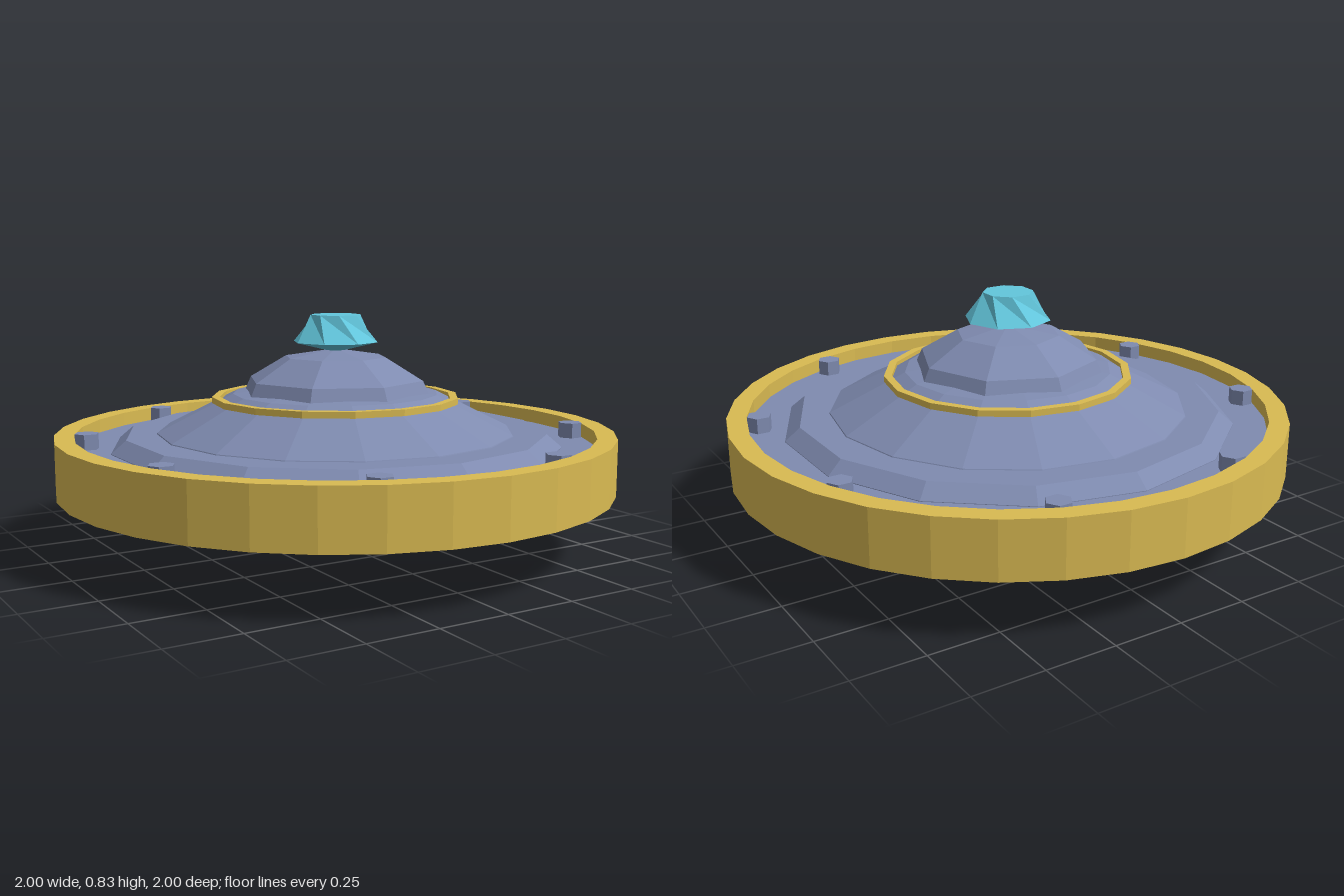
import * as THREE from 'three';

const mat = (name, color) => {
  const m = new THREE.MeshStandardMaterial({ color, flatShading: true });
  m.name = name;
  return m;
};

export function createModel() {
  const hull = mat('blue grey hull', 0x7f8bb0);
  const gold = mat('gold trim', 0xd9ba52);
  const crystal = mat('cyan crystal', 0x62c6dc);
  const model = new THREE.Group();
  model.name = 'flyingSaucer';

  const add = (name, geometry, material) => {
    const mesh = new THREE.Mesh(geometry, material);
    mesh.name = name;
    model.add(mesh);
    return mesh;
  };
  // Faceted turned part; profile is [radius, height] from bottom to top
  const turned = (profile, sides) =>
    new THREE.LatheGeometry(profile.map(([r, y]) => new THREE.Vector2(r, y)), sides);
  const band = (rIn, rOut, y0, y1, sides) =>
    turned([[rIn, y0], [rOut, y0], [rOut, y1], [rIn, y1], [rIn, y0]], sides);
  // Faceted dome of three tiers
  const dome = (r, h, y, sides) => {
    const profile = [];
    for (let i = 0; i <= 3; i++) {
      const a = (i * Math.PI) / 6;
      profile.push([i === 3 ? 0 : r * Math.cos(a), y + h * Math.sin(a)]);
    }
    return turned(profile, sides);
  };

  // Rim and deck
  add('outerRim', band(0.93, 1, 0.22, 0.42, 32), gold);
  add('deck', turned([[0, 0.26], [0.94, 0.26], [0.94, 0.37], [0, 0.37]], 32), hull);
  add('deckStep', turned([[0.81, 0.36], [0.81, 0.372], [0.757, 0.417], [0, 0.417]], 14), hull);

  // Stacked domes with a gold collar
  add('lowerDome', dome(0.74, 0.37, 0.235, 16), hull);
  add('domeCollar', band(0.417, 0.445, 0.524, 0.546, 16), gold);
  add('upperDome', dome(0.37, 0.219, 0.495, 8), hull);

  // Hexagonal bolts around the deck
  for (let i = 0; i < 8; i++) {
    const a = ((i + 0.5) * Math.PI) / 4;
    const geo = new THREE.CylinderGeometry(0.044, 0.044, 0.065, 6);
    geo.rotateY(Math.PI / 6);
    add('deckBolt', geo, hull).position.set(0.887 * Math.cos(a), 0.3925, 0.887 * Math.sin(a));
  }

  // Cut crystal: the flat table is twisted against the girdle
  const gem = () => {
    const geo = turned([[0, 0], [0.155, 0.038], [0.09, 0.135], [0, 0.135]], 8);
    const p = geo.attributes.position;
    const axis = new THREE.Vector3(0, 1, 0);
    const v = new THREE.Vector3();
    for (let i = 0; i < p.count; i++) {
      v.fromBufferAttribute(p, i);
      if (v.y > 0.1) v.applyAxisAngle(axis, -Math.PI / 8);
      p.setXYZ(i, v.x, v.y, v.z);
    }
    return geo;
  };
  add('topCrystal', gem(), crystal).position.y = 0.7;
  const lower = add('bottomCrystal', gem(), crystal);
  lower.rotation.x = Math.PI;
  lower.scale.setScalar(0.7);
  lower.position.y = 0.0945;

  // Underside hub, ring and radiating fins
  add('undersideHub', turned([[0, 0.086], [0.235, 0.086], [0.29, 0.265]], 10), hull);
  add('undersideRing', band(0.752, 0.774, 0.243, 0.265, 32), gold);

  const fin = new THREE.Shape([
    new THREE.Vector2(0.262, 0.108), new THREE.Vector2(0.9, 0.222),
    new THREE.Vector2(0.9, 0.27), new THREE.Vector2(0.262, 0.27),
  ]);
  const finGeo = new THREE.ExtrudeGeometry(fin, { depth: 0.055, bevelEnabled: false });
  finGeo.translate(0, 0, -0.0275);
  for (let i = 0; i < 6; i++) {
    add('undersideFin', finGeo, hull).rotation.y = Math.PI / 6 + (i * Math.PI) / 3;
  }
  return model;
}
